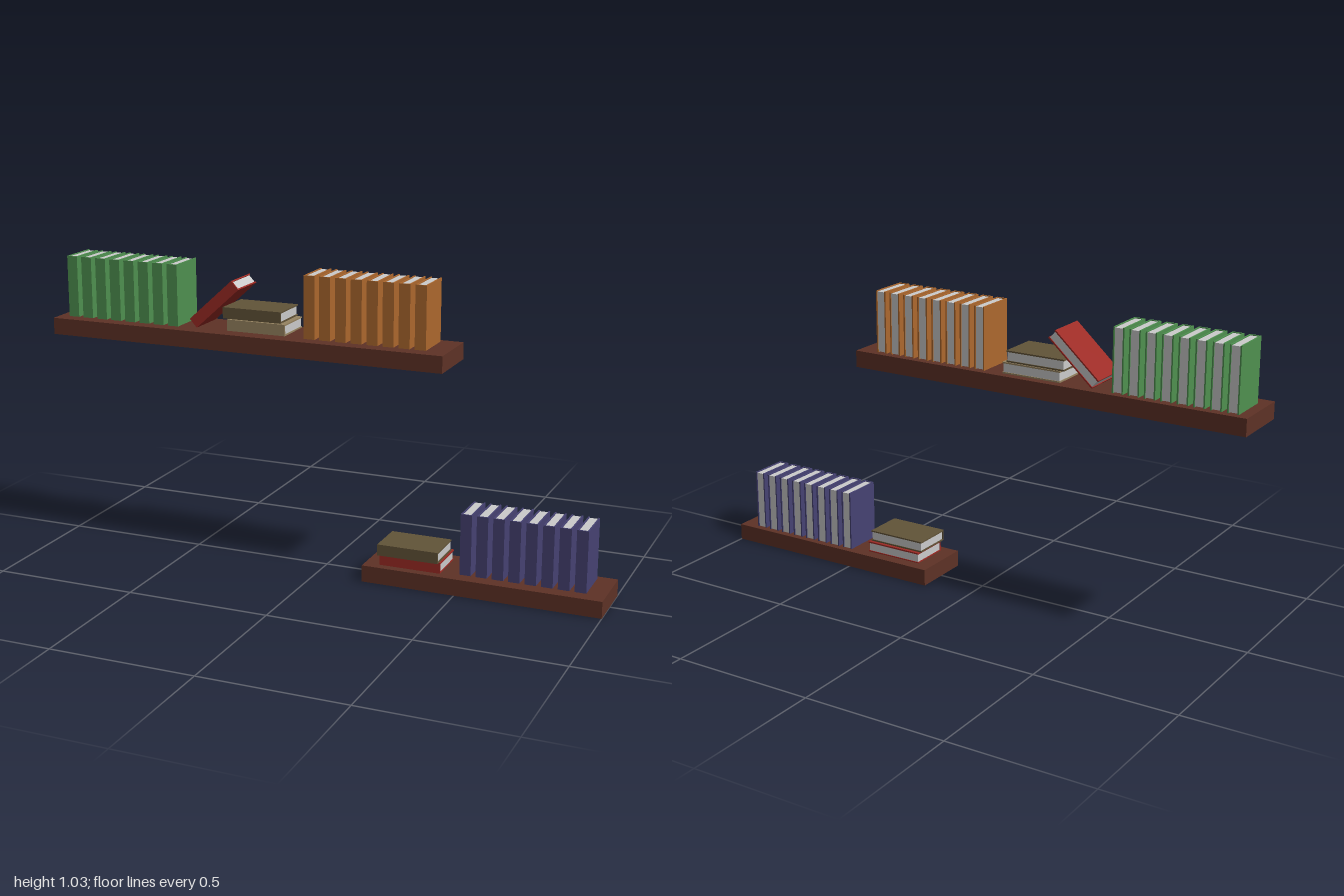
import * as THREE from 'three';

const THICK = 0.039, TALL = 0.215, DEPTH = 0.143, COVER = 0.005;

const mat = (color) => new THREE.MeshStandardMaterial({ color });
const wood = mat(0x5e3226), paper = mat(0xcccccc);
const green = mat(0x4f9150), orange = mat(0xad682e), blue = mat(0x464273);
const red = mat(0x9c2a24), olive = mat(0x625438), tan = mat(0x978461);

// U-shaped cover section: spine towards +z, open at the back, extruded up the book
function coverGeometry() {
  const w = THICK / 2, d = DEPTH / 2, i = w - COVER;
  const pts = [[-w, -d], [-w, d], [w, d], [w, -d], [i, -d], [i, d - COVER], [-i, d - COVER], [-i, -d]];
  const shape = new THREE.Shape(pts.map(([x, z]) => new THREE.Vector2(x, -z)));
  const geo = new THREE.ExtrudeGeometry(shape, { depth: TALL, bevelEnabled: false });
  return geo.rotateX(-Math.PI / 2).translate(0, -TALL / 2, 0);
}

export function createModel() {
  const model = new THREE.Group();
  model.name = 'bookShelves';
  const coverGeo = coverGeometry();
  const pageGeo = new THREE.BoxGeometry(THICK - 2 * COVER, TALL - 0.006, DEPTH - COVER - 0.003);

  // One book centred at (x, y, z), tilted about z
  function addBook(name, material, x, y, z, tilt = 0) {
    const book = new THREE.Group();
    book.name = name;
    const cover = new THREE.Mesh(coverGeo, material);
    cover.name = 'cover';
    const pages = new THREE.Mesh(pageGeo, paper);
    pages.name = 'pages';
    pages.position.z = -0.001;
    book.add(cover, pages);
    book.position.set(x, y, z);
    book.rotation.z = tilt;
    model.add(book);
  }

  // Plank from x0 to x1 with its underside at y
  function addShelf(name, x0, x1, y) {
    const shelf = new THREE.Mesh(new THREE.BoxGeometry(x1 - x0, 0.058, 0.212), wood);
    shelf.name = name;
    shelf.position.set((x0 + x1) / 2, y + 0.029, 0);
    model.add(shelf);
  }

  // Eight upright books in a row
  function addRow(name, material, x0, base) {
    for (let i = 0; i < 8; i++) {
      addBook(name, material, x0 + THICK / 2 + i * 0.0561, base + TALL / 2, -0.0135);
    }
  }

  addShelf('upperShelf', -1, 0.445, 0.753);
  addShelf('lowerShelf', 0.172, 1, 0);

  addRow('greenBook', green, -0.964, 0.811);
  addRow('orangeBook', orange, -0.06, 0.811);
  addRow('blueBook', blue, 0.503, 0.056);

  // Flat stacks
  const flat = -Math.PI / 2;
  addBook('tanFlatBook', tan, -0.237, 0.833, -0.013, flat);
  addBook('oliveFlatBook', olive, -0.253, 0.874, -0.015, flat);
  addBook('redFlatBook', red, 0.333, 0.076, 0.005, flat);
  addBook('oliveFlatBook', olive, 0.328, 0.115, 0.017, flat);

  // Leaning book resting on the stack
  addBook('leaningBook', red, -0.393, 0.9, -0.0135, THREE.MathUtils.degToRad(-48));

  return model;
}
